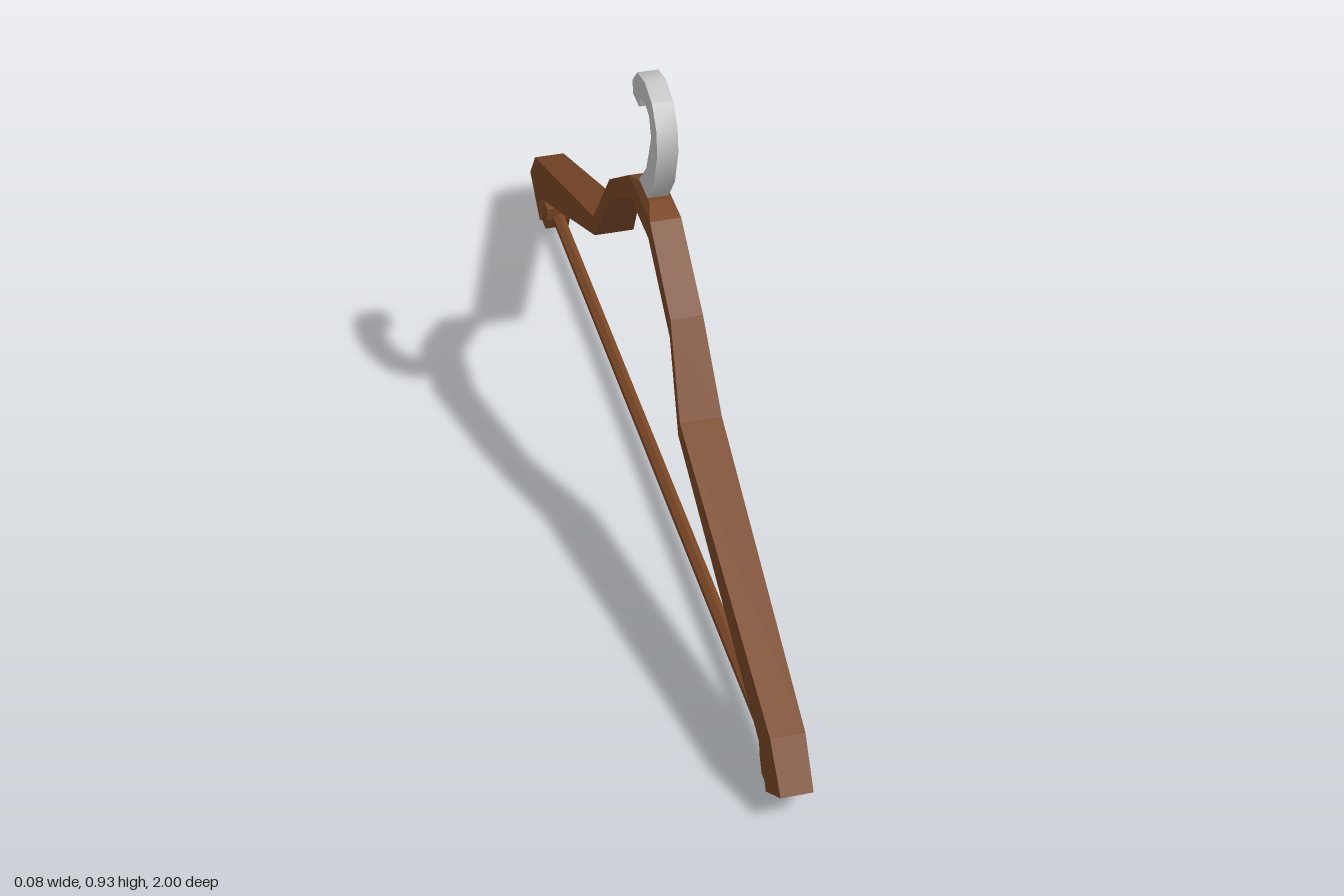
import * as THREE from 'three';
import { toCreasedNormals } from 'three/addons/utils/BufferGeometryUtils.js';

// Skin a list of four-cornered rings, with closed ends and flat faces
function loft(rings) {
  const pos = [];
  const quad = (a, b, c, d) => pos.push(...a, ...b, ...c, ...a, ...c, ...d);
  for (let i = 0; i < rings.length - 1; i++) {
    const p = rings[i], q = rings[i + 1];
    for (let k = 0; k < 4; k++) {
      const n = (k + 1) % 4;
      quad(p[k], q[k], q[n], p[n]);
    }
  }
  quad(...rings[0]);
  quad(...[...rings[rings.length - 1]].reverse());
  const g = new THREE.BufferGeometry();
  g.setAttribute('position', new THREE.Float32BufferAttribute(pos, 3));
  g.computeVertexNormals();
  return g;
}

// Extrude a side outline of [z, y] points across x, centred
function sidePlate(points, width) {
  const shape = new THREE.Shape(points.map(([z, y]) => new THREE.Vector2(z, y)));
  const g = new THREE.ExtrudeGeometry(shape, { depth: width, bevelEnabled: false });
  g.translate(0, 0, -width / 2);
  g.rotateY(-Math.PI / 2);
  return g;
}

export function createModel() {
  const wood = new THREE.MeshStandardMaterial({ color: 0x7a4726 });
  wood.name = 'brown wood';
  const metal = new THREE.MeshStandardMaterial({ color: 0xcacaca });
  metal.name = 'light grey metal';

  const group = new THREE.Group();
  group.name = 'coatHanger';
  const add = (name, geometry, material) => {
    const mesh = new THREE.Mesh(geometry, material);
    mesh.name = name;
    group.add(mesh);
    return mesh;
  };

  // Shoulder frame: outer z, outer y, inner z, inner y, half width
  const half = [
    [1.0, 0.07, 0.91, 0.0, 0.03],
    [0.935, 0.152, 0.885, 0.075, 0.032],
    [0.342, 0.398, 0.33, 0.36, 0.04],
    [0.236, 0.557, 0.232, 0.513, 0.031],
    [0.08, 0.67, 0.068, 0.625, 0.03],
  ];
  const mirrored = [...half].reverse().map(([oz, oy, iz, iy, w]) => [-oz, oy, -iz, iy, w]);
  add('shoulderFrame', loft([...half, ...mirrored].map(([oz, oy, iz, iy, w]) =>
    [[w, oy, oz], [-w, oy, oz], [-w, iy, iz], [w, iy, iz]])), wood);

  // Bevelled crown under the hook
  add('crown', loft([[0.03, 0.67, 0.08], [0.02, 0.684, 0.036]].map(([w, y, z]) =>
    [[w, y, z], [-w, y, z], [-w, y, -z], [w, y, -z]])), wood);

  // Sockets that hold the trouser bar
  for (const s of [1, -1]) {
    const outline = [[0.9, 0.07], [0.848, 0.07], [0.853, 0.038], [0.87, 0.004], [0.908, 0.004]];
    add(s > 0 ? 'frontSocket' : 'backSocket',
      sidePlate(outline.map(([z, y]) => [s * z, y]), 0.052), wood);
  }

  // Trouser bar
  const bar = toCreasedNormals(new THREE.CylinderGeometry(0.014, 0.014, 1.74, 6), 0.5);
  bar.rotateX(Math.PI / 2);
  add('trouserBar', bar, wood).position.y = 0.039;

  // Hook
  const hook = [
    [0.02, 0.68], [0.07, 0.745], [0.095, 0.826], [0.088, 0.876], [0.056, 0.915],
    [0.003, 0.928], [-0.053, 0.915], [-0.088, 0.878], [-0.088, 0.848],
    [-0.04, 0.848], [-0.03, 0.873], [0.004, 0.884], [0.035, 0.874],
    [0.05, 0.837], [0.032, 0.79], [0.013, 0.745], [-0.042, 0.684], [-0.042, 0.68],
  ];
  add('hook', toCreasedNormals(sidePlate(hook, 0.04), 0.6), metal);

  return group;
}
